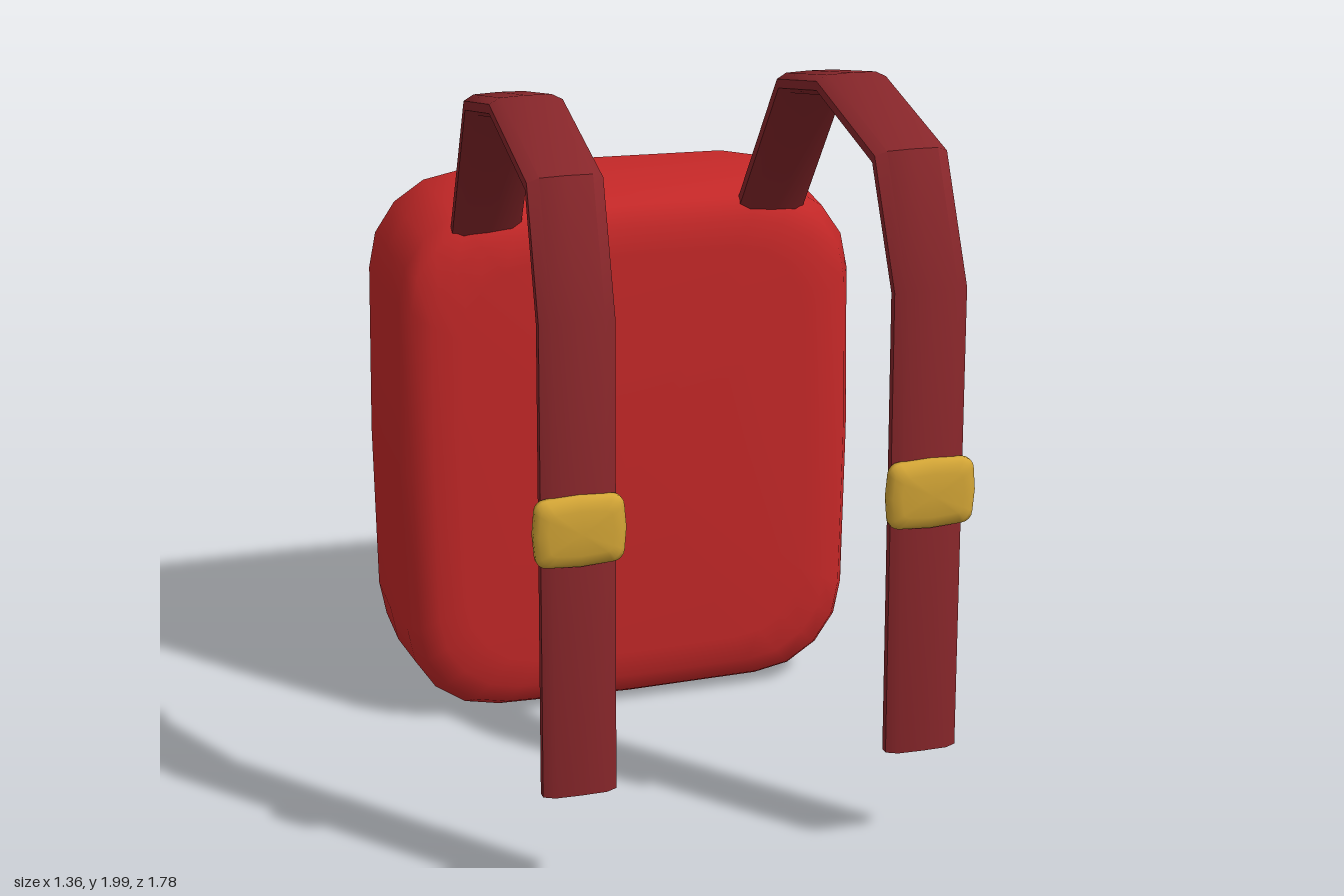
import * as THREE from 'three';
import { toCreasedNormals } from 'three/addons/utils/BufferGeometryUtils.js';

// Skin a list of closed rings (arrays of Vector3), closed with a fan at each end
function loft(rings, startCentre, endCentre) {
  const n = rings[0].length;
  const points = [...rings.flat(), startCentre, endCentre];
  const start = points.length - 2, end = points.length - 1;
  const last = (rings.length - 1) * n;
  const index = [];
  for (let j = 0; j < n; j++) {
    const k = (j + 1) % n;
    for (let i = 0; i < last; i += n) {
      index.push(i + j, i + n + j, i + k, i + k, i + n + j, i + n + k);
    }
    index.push(start, j, k, end, last + k, last + j);
  }
  const geometry = new THREE.BufferGeometry().setFromPoints(points);
  geometry.setIndex(index);
  geometry.computeVertexNormals();
  return geometry;
}

// Rounded rectangle in x and y, counter-clockwise, with slightly bulging sides
function outline(w, h, r, z, bulge, steps = 4) {
  const ring = [];
  const corners = [[1, 1], [-1, 1], [-1, -1], [1, -1]];
  corners.forEach(([sx, sy], q) => {
    for (let i = 0; i <= steps; i++) {
      const a = (q + i / steps) * Math.PI / 2;
      ring.push(new THREE.Vector3(sx * (w - r) + r * Math.cos(a), sy * (h - r) + r * Math.sin(a), z));
    }
    const across = q % 2 === 0;
    ring.push(across
      ? new THREE.Vector3(0, sy * (h + bulge), z)
      : new THREE.Vector3(sx * (w + bulge), 0, z));
  });
  return ring;
}

// Cushion-like box: profile is a list of [inset, z] from front to back
function softBox(w, h, r, bulge, profile) {
  const rings = profile.map(([inset, z]) =>
    outline(w / 2 - inset, h / 2 - inset, Math.max(r - inset * 0.4, 0.01), z, bulge));
  return loft(rings,
    new THREE.Vector3(0, 0, profile[0][1] + bulge),
    new THREE.Vector3(0, 0, profile[profile.length - 1][1] - bulge));
}

// Flat band with bevelled edges, mitred along a path of [x, y, z]
function strapGeometry(side) {
  const path = [
    [0.465, 0.30, 0.83], [0.46, 1.56, 0.825], [0.45, 1.872, 0.69],
    [0.44, 1.967, 0.28], [0.435, 1.905, -0.02], [0.413, 1.47, -0.31],
  ];
  const section = [
    [0.097, -0.012], [0.097, 0.012], [0.068, 0.027], [0, 0.029], [-0.068, 0.027],
    [-0.097, 0.012], [-0.097, -0.012], [-0.068, -0.027], [0, -0.029], [0.068, -0.027],
  ];
  const direction = (a, b) => new THREE.Vector2(b[2] - a[2], b[1] - a[1]).normalize();
  const rings = path.map((p, i) => {
    const before = direction(path[Math.max(i - 1, 0)], path[Math.max(i, 1)]);
    const after = direction(path[Math.min(i, path.length - 2)], path[Math.min(i + 1, path.length - 1)]);
    const t = before.clone().add(after).normalize();
    const mitre = 1 / t.dot(after);
    return section.map(([u, v]) => new THREE.Vector3(
      side * p[0] + u, p[1] - t.x * v * mitre, p[2] + t.y * v * mitre));
  });
  const centre = (p) => new THREE.Vector3(side * p[0], p[1], p[2]);
  return toCreasedNormals(loft(rings, centre(path[0]), centre(path[path.length - 1])), 0.9);
}

export function createModel() {
  const bag = new THREE.Group();
  bag.name = 'backpack';

  const material = (name, color) => {
    const m = new THREE.MeshStandardMaterial({ color });
    m.name = name;
    return m;
  };
  const red = material('red fabric', 0xc62828);
  const darkRed = material('dark red fabric', 0x87262a);
  const gold = material('gold metal', 0xd4a636);

  const add = (name, geometry, mat, x = 0, y = 0, z = 0) => {
    const mesh = new THREE.Mesh(geometry, mat);
    mesh.name = name;
    mesh.position.set(x, y, z);
    bag.add(mesh);
  };

  // Main compartment
  add('body', softBox(1.34, 1.53, 0.27, 0.008, [
    [0.17, -0.243], [0.09, -0.254], [0.035, -0.282], [0.01, -0.33], [0, -0.52],
    [0.006, -0.71], [0.03, -0.765], [0.08, -0.79], [0.15, -0.802],
  ]), red, 0, 0.783);

  // Rear pocket
  add('pocket', softBox(0.89, 0.72, 0.1, 0.004, [
    [0.01, -0.76], [0, -0.80], [0.002, -0.855], [0.015, -0.876], [0.05, -0.886],
  ]), darkRed, 0, 0.44);

  // Curved zip above the pocket
  const zipPath = new THREE.CatmullRomCurve3([
    [-0.49, 0.78, -0.812], [-0.25, 0.825, -0.822], [0, 0.85, -0.829],
    [0.25, 0.825, -0.822], [0.49, 0.78, -0.812],
  ].map((p) => new THREE.Vector3(...p)));
  add('zip', new THREE.TubeGeometry(zipPath, 16, 0.018, 8), gold);

  // Shoulder straps and their buckles
  for (const [label, side] of [['left', 1], ['right', -1]]) {
    add(label + 'Strap', strapGeometry(side), darkRed);
    add(label + 'Buckle', softBox(0.23, 0.178, 0.03, 0.005, [
      [0.035, 0.025], [0.012, 0.018], [0, 0.006], [0, -0.01], [0.012, -0.02], [0.035, -0.024],
    ]), gold, side * 0.465, 1.027, 0.86);
  }
  return bag;
}
